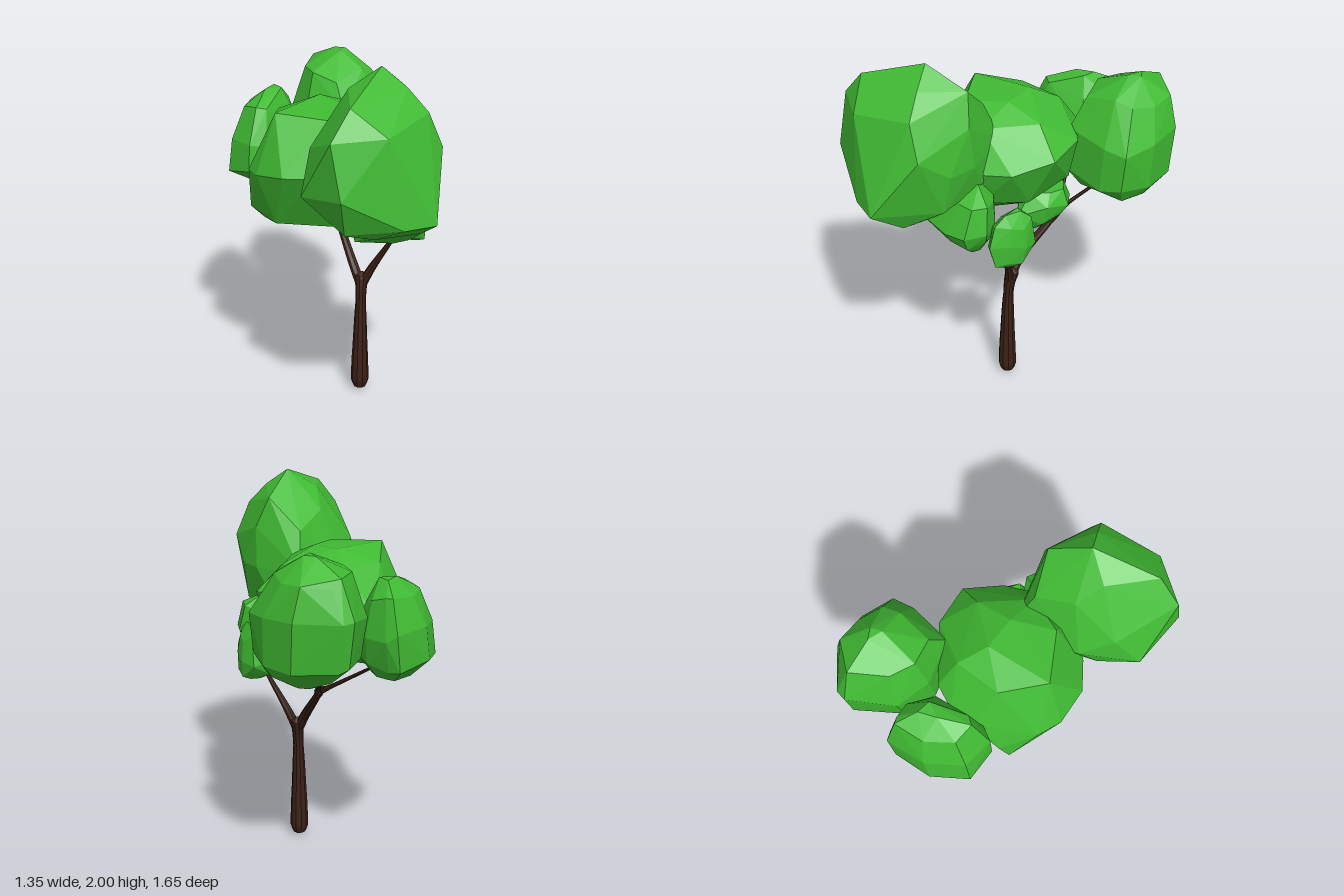
import * as THREE from 'three';
import { ConvexGeometry } from 'three/addons/geometries/ConvexGeometry.js';

const leafMat = new THREE.MeshStandardMaterial({ color: 0x40bb33, flatShading: true });
const barkMat = new THREE.MeshStandardMaterial({ color: 0x3c2116, flatShading: true });

// Small seeded generator for the uneven facets
function seeded(seed) {
  let s = seed * 7919 + 17;
  return () => (s = (s * 16807) % 2147483647) / 2147483647;
}

// Faceted leaf clump wrapped around its corners [x, y, z]
function clump(name, corners) {
  const mesh = new THREE.Mesh(
    new ConvexGeometry(corners.map((c) => new THREE.Vector3(...c))), leafMat);
  mesh.name = name;
  return mesh;
}

// Corners of a clump: the plan outline [x, z] is fitted to each level
// [y, x0, x1, z0, z1] and made a little uneven
function stacked(seed, plan, levels) {
  const rnd = seeded(seed);
  const box = new THREE.Box2().setFromPoints(plan.map(([x, z]) => new THREE.Vector2(x, z)));
  const mid = box.getCenter(new THREE.Vector2());
  const size = box.getSize(new THREE.Vector2());
  const corners = [];
  levels.forEach(([y, x0, x1, z0, z1], i) => {
    const end = i === 0 || i === levels.length - 1;
    const step = x1 - x0 < 0.12 ? 3 : 1;
    for (let k = 0; k < plan.length; k += step) {
      const r = 0.95 + rnd() * 0.06;
      corners.push([
        (x0 + x1) / 2 + (plan[k][0] - mid.x) / size.x * (x1 - x0) * r,
        y + (end ? 0 : (rnd() - 0.5) * 0.06),
        (z0 + z1) / 2 + (plan[k][1] - mid.y) / size.y * (z1 - z0) * r]);
    }
  });
  return corners;
}

// Tapered limb through [x, y, z, radius] stations
function limb(name, stations, sides = 8) {
  const path = new THREE.CatmullRomCurve3(
    stations.map(([x, y, z]) => new THREE.Vector3(x, y, z)), false, 'centripetal');
  const segs = stations.length * 4;
  const geo = new THREE.TubeGeometry(path, segs, 1, sides, false);
  const pos = geo.attributes.position;
  const p = new THREE.Vector3();
  for (let i = 0; i <= segs; i++) {
    const c = path.getPointAt(i / segs);
    const t = path.getUtoTmapping(i / segs) * (stations.length - 1);
    const k = Math.min(Math.floor(t), stations.length - 2);
    const r = THREE.MathUtils.lerp(stations[k][3], stations[k + 1][3], t - k);
    for (let j = 0; j <= sides; j++) {
      const v = i * (sides + 1) + j;
      p.fromBufferAttribute(pos, v).sub(c).multiplyScalar(r).add(c);
      pos.setXYZ(v, p.x, p.y, p.z);
    }
  }
  geo.computeVertexNormals();
  const mesh = new THREE.Mesh(geo, barkMat);
  mesh.name = name;
  return mesh;
}

export function createModel() {
  const tree = new THREE.Group();
  tree.name = 'tree';

  // Trunk with a rounded foot and a flare at the fork
  const wood = new THREE.Group();
  wood.name = 'wood';
  wood.add(
    limb('trunk', [
      [0.13, 0.0, -0.012, 0.001], [0.13, 0.015, -0.012, 0.033], [0.13, 0.065, -0.012, 0.051],
      [0.13, 0.2, -0.012, 0.046], [0.13, 0.55, -0.018, 0.028], [0.13, 0.63, -0.025, 0.031],
      [0.127, 0.69, -0.037, 0.038], [0.127, 0.715, -0.04, 0.032], [0.127, 0.722, -0.04, 0.001]], 10),
    limb('leftBranch', [
      [0.14, 0.66, -0.028, 0.026], [0.185, 0.75, -0.032, 0.022],
      [0.31, 0.96, -0.035, 0.01], [0.37, 1.08, -0.05, 0.007]]),
    limb('rightBranch', [
      [0.12, 0.66, -0.03, 0.028], [0.07, 0.75, -0.065, 0.026],
      [-0.05, 0.92, -0.2, 0.019], [-0.08, 0.97, -0.235, 0.026], [-0.1, 1.01, -0.26, 0.008]]),
    limb('backTwig', [
      [-0.07, 0.96, -0.23, 0.022], [-0.1, 1.02, -0.29, 0.012], [-0.16, 1.22, -0.53, 0.007]]),
    limb('outerTwig', [
      [-0.07, 0.96, -0.23, 0.022], [-0.14, 1.0, -0.24, 0.012], [-0.42, 1.17, -0.26, 0.007]]),
    limb('innerTwig', [
      [-0.08, 0.97, -0.24, 0.02], [-0.05, 1.02, -0.2, 0.011], [0, 1.1, -0.14, 0.007]]));

  // Leaf clumps
  const crown = new THREE.Group();
  crown.name = 'crown';
  crown.add(
    clump('frontClump', [
      [0.33, 2.0, 0.34], [0.19, 1.9, 0.42], [0.28, 1.89, 0.68], [0.46, 1.91, 0.35],
      [0.35, 1.88, 0.13], [0.12, 1.8, 0.3], [0.57, 1.8, 0.36], [0.46, 1.76, 0.67],
      [0.22, 1.75, 0.79], [0.16, 1.72, 0.1], [0.42, 1.72, 0.11], [0.03, 1.62, 0.52],
      [0.63, 1.62, 0.31], [0.28, 1.48, 0.82], [0.03, 1.42, 0.66], [-0.01, 1.5, 0.35],
      [0.07, 1.5, 0.16], [0.13, 1.52, 0.02], [0.41, 1.5, 0.09], [0.53, 1.5, 0.18],
      [0.67, 1.31, 0.55], [0.54, 1.31, 0.66], [0.27, 1.28, 0.73], [0.03, 1.34, 0.45],
      [0.08, 1.36, 0.1], [0.32, 1.36, 0.07], [0.52, 1.29, 0.22], [0.13, 1.23, 0.4],
      [0.4, 1.18, 0.3], [0.56, 1.2, 0.42], [0.38, 1.22, 0.6], [0.22, 1.2, 0.34]]),
    clump('middleClump', [
      [-0.12, 1.69, -0.08], [0.04, 1.68, 0], [-0.25, 1.675, 0.24], [0.03, 1.66, 0.23],
      [-0.32, 1.62, 0], [-0.2, 1.61, -0.22], [0.13, 1.62, -0.18], [0.2, 1.6, 0.1],
      [0.04, 1.5, -0.36], [0.25, 1.48, -0.28], [0.33, 1.42, -0.08], [0.32, 1.4, 0.15],
      [0.2, 1.4, 0.31], [0, 1.4, 0.38], [-0.16, 1.39, 0.4], [-0.33, 1.36, 0.32],
      [-0.41, 1.35, 0.22], [-0.47, 1.2, 0.03], [-0.42, 1.38, -0.1], [-0.37, 1.42, -0.23],
      [-0.27, 1.45, -0.31], [-0.46, 1.08, 0.08], [-0.38, 1.03, 0.09], [-0.25, 1.08, 0.26],
      [0.1, 1.07, 0.18], [0.02, 1.04, 0.06], [0.26, 1.2, 0.1], [0.2, 1.2, -0.14],
      [-0.3, 1.15, -0.17], [0, 1.16, -0.2], [0, 1.26, -0.31]]),
    clump('backClump', stacked(8, [
      [-0.45, -0.74], [-0.4, -0.78], [-0.17, -0.83], [0.02, -0.75], [0.14, -0.61],
      [0.1, -0.49], [-0.05, -0.28], [-0.28, -0.33], [-0.41, -0.47]], [
      [1.79, -0.22, -0.14, -0.65, -0.58], [1.69, -0.38, 0.0, -0.79, -0.37],
      [1.5, -0.46, 0.14, -0.83, -0.3], [1.28, -0.43, 0.14, -0.82, -0.28],
      [1.19, -0.32, 0.06, -0.76, -0.36], [1.14, -0.2, -0.08, -0.67, -0.56]])),
    clump('rightClump', stacked(11, [
      [-0.59, -0.5], [-0.53, -0.5], [-0.4, -0.45], [-0.3, -0.31], [-0.42, -0.04],
      [-0.5, 0], [-0.65, -0.09], [-0.68, -0.3]], [
      [1.63, -0.5, -0.42, -0.36, -0.24], [1.55, -0.6, -0.36, -0.47, -0.09],
      [1.38, -0.67, -0.3, -0.51, -0.01], [1.22, -0.68, -0.3, -0.48, 0],
      [1.13, -0.58, -0.37, -0.38, -0.12]])),
    clump('leftClump', stacked(14, [
      [0.12, 0.15], [0.2, 0.04], [0.35, 0], [0.49, 0.01], [0.55, 0.11], [0.5, 0.22],
      [0.36, 0.38], [0.2, 0.38]], [
      [1.37, 0.27, 0.38, 0.08, 0.16], [1.28, 0.17, 0.5, 0.01, 0.27],
      [1.17, 0.12, 0.55, 0.0, 0.4], [1.09, 0.13, 0.52, 0.01, 0.35],
      [1.025, 0.26, 0.45, 0.06, 0.2]])),
    clump('leftSmallClump', stacked(17, [
      [0.3, -0.2], [0.39, -0.17], [0.45, -0.1], [0.49, 0], [0.4, 0.03], [0.25, 0],
      [0.21, -0.13]], [
      [1.24, 0.32, 0.41, -0.13, -0.05], [1.18, 0.26, 0.46, -0.18, 0.01],
      [1.06, 0.22, 0.49, -0.2, 0.03], [0.98, 0.25, 0.48, -0.17, 0.0],
      [0.945, 0.31, 0.44, -0.14, -0.04]])),
    clump('innerSmallClump', stacked(20, [
      [-0.12, -0.3], [0.02, -0.32], [0.11, -0.22], [0.14, -0.06], [0.04, -0.04],
      [-0.08, -0.14]], [
      [1.18, -0.08, 0.08, -0.29, -0.11], [1.09, -0.13, 0.15, -0.32, -0.05],
      [1.02, -0.11, 0.14, -0.28, -0.05], [0.965, -0.05, 0.1, -0.2, -0.07]])));

  tree.add(wood, crown);
  return tree;
}
